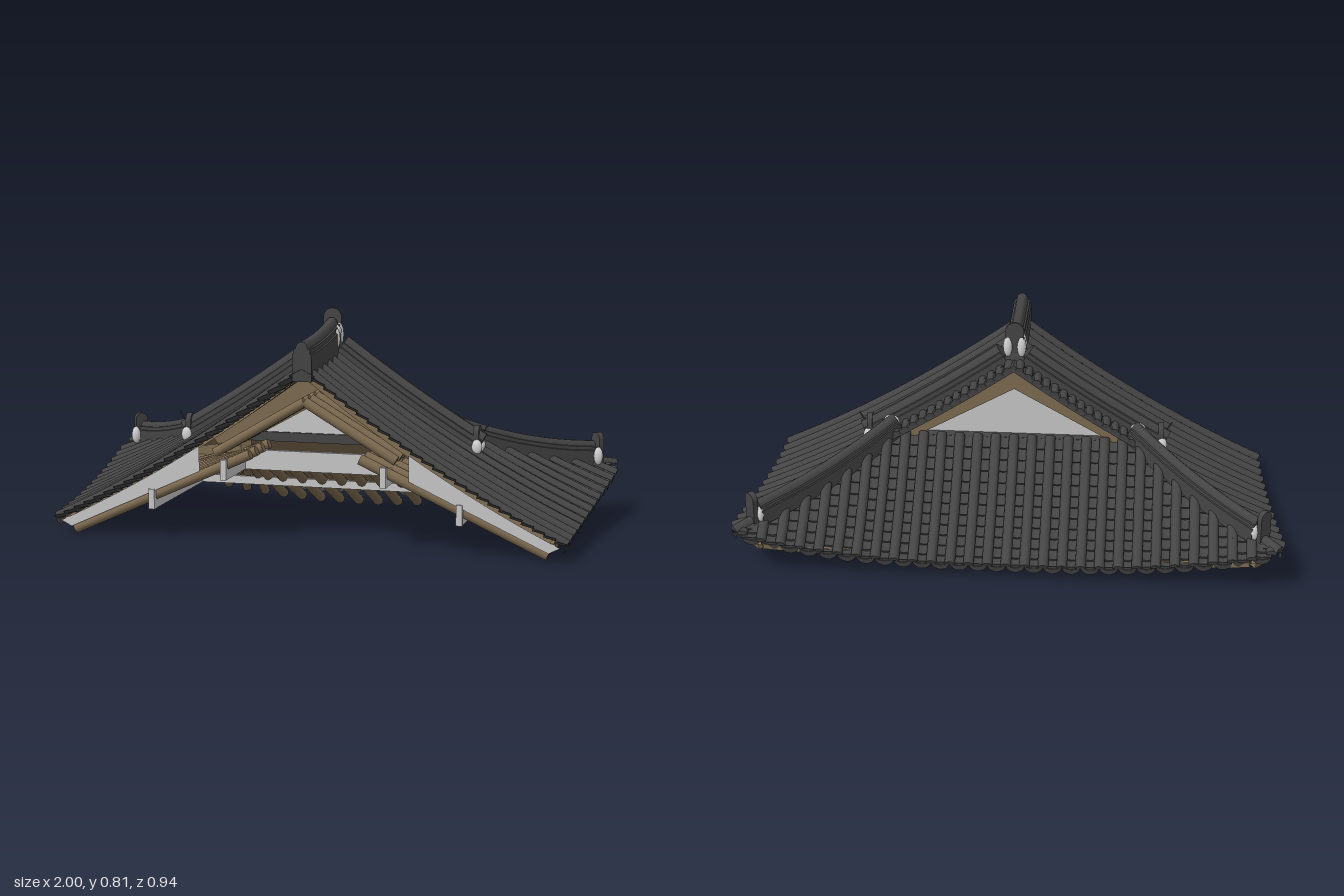
import * as THREE from 'three';
import { toCreasedNormals } from 'three/addons/utils/BufferGeometryUtils.js';

const V = (x, y, z) => new THREE.Vector3(x, y, z);
const mat = (name, color) => new THREE.MeshStandardMaterial({ name, color, side: THREE.DoubleSide });
const STEP = 0.0675;

// Roof surface: side slope (t = 0 ridge, 1 eave) and rear slope (u = 0 top, 1 eave)
const hipX = z => 0.46 + (0.03 - z) * 1.06;
const eaveX = z => {
  const s = Math.max(0, (0.47 - z) / 0.92);
  return 0.93 + 0.07 * s ** 1.5 - 0.05 * Math.max(0, (-0.36 - z) / 0.1) ** 2;
};
const side = (t, z, sx = 1) => {
  const s = Math.max(0, (0.47 - z) / 0.92);
  const eaveY = 0.06 + 0.12 * s ** 1.5;
  const peakY = 0.635 + 0.03 * Math.min(1, s * 2.2) ** 2;
  return V(sx * t * eaveX(z), peakY + (eaveY - peakY) * t - 0.14 * t * (1 - t), z);
};
const sideAt = (x, z, sx = 1) => side(x / eaveX(z), z, sx);
const rear = (u, x) => {
  const a = Math.abs(x), k = a / 0.95;
  const zt = a < 0.46 ? 0.03 : 0.03 - (a - 0.46) / 1.06;
  const yt = sideAt(Math.max(a, 0.46), zt).y;
  const ze = -0.41 - 0.06 * k * k + 0.02 * Math.max(0, (a - 0.88) / 0.07) ** 2;
  const ye = 0.06 + 0.12 * k ** 2.5;
  return V(x, yt + (ye - yt) * u - 0.08 * u * (1 - u) * Math.min(1, (zt - ze) / 0.4), zt + (ze - zt) * u);
};
const sample = (n, f) => Array.from({ length: n + 1 }, (_, i) => f(i / n));

// Sweep an open cross-section (left to right) along a path, with end caps
function sweep(pts, sideways, profile, lift = () => 0, caps = true) {
  const pos = [], idx = [], n = profile.length, m = pts.length;
  pts.forEach((p, i) => {
    const t = pts[Math.min(i + 1, m - 1)].clone().sub(pts[Math.max(i - 1, 0)]).normalize();
    const s = sideways.clone();
    const up = s.clone().cross(t).normalize();
    if (up.y < 0) { s.negate(); up.negate(); }
    for (const [a, b] of profile)
      pos.push(...p.clone().addScaledVector(s, a).addScaledVector(up, b + lift(i)).toArray());
  });
  for (let i = 0; i < m - 1; i++) for (let j = 0; j < n - 1; j++) {
    const a = i * n + j;
    idx.push(a, a + 1, a + n, a + 1, a + n + 1, a + n);
  }
  const e = (m - 1) * n;
  if (caps) for (let j = 1; j < n - 1; j++) idx.push(0, j + 1, j, e, e + j, e + j + 1);
  const g = new THREE.BufferGeometry();
  g.setAttribute('position', new THREE.Float32BufferAttribute(pos, 3));
  g.setIndex(idx);
  return toCreasedNormals(g, 0.7);
}

// Grid sheet from a rule
function sheet(f, nu, nv) {
  const g = new THREE.PlaneGeometry(1, 1, nu, nv), p = g.attributes.position;
  for (let i = 0; i < p.count; i++) {
    const q = f(p.getX(i) + 0.5, p.getY(i) + 0.5);
    p.setXYZ(i, q.x, q.y, q.z);
  }
  g.computeVertexNormals();
  return g;
}

const arc = (r, n = 8) => sample(n, k => [-r * Math.cos(k * Math.PI), r * Math.sin(k * Math.PI)]);
const PAN = [[-0.034, 0.006], [-0.02, -0.006], [0, -0.011], [0.02, -0.006], [0.034, 0.006]];
const BATTEN = [[-0.01, -0.01], [-0.01, 0.01], [0.01, 0.01], [0.01, -0.01], [-0.01, -0.01]];
const ridgeProfile = (w, h, base) => {
  const left = [[-w, base], [-w, h * 0.45], [-w * 0.85, h * 0.48], [-w * 0.85, h * 0.68],
    [-w * 0.65, h * 0.7], [-w * 0.5, h * 0.9], [-w * 0.2, h]];
  return [...left, ...left.slice().reverse().map(([a, b]) => [-a, b])];
};

export function createModel() {
  const tile = mat('charcoalTile', 0x444444), wood = mat('brownWood', 0x7c6a50);
  const plaster = mat('greyPlaster', 0xc6c6c6), mortar = mat('paleMortar', 0xd2d2d2);
  const root = new THREE.Group();
  root.name = 'hippedGableRoof';
  const group = name => { const g = new THREE.Group(); g.name = name; root.add(g); return g; };
  const add = (parent, name, geo, material) => {
    const m = new THREE.Mesh(geo, material);
    m.name = name;
    parent.add(m);
    return m;
  };

  // Tile rows: round cover tiles, stepped pan tiles, drip plates
  const tiles = group('tileRows');
  const cover = (f, sideways) => {
    add(tiles, 'coverTile', sweep(sample(12, f), sideways, arc(0.019), () => 0.003), tile);
  };
  const pan = (f, sideways, length) => {
    const n = Math.max(1, Math.round(length / 0.045)), pts = [];
    for (let k = 0; k < n; k++) pts.push(f(k / n), f((k + 1) / n));
    add(tiles, 'panTile', sweep(pts, sideways, PAN, i => (i % 2 ? 0.007 : -0.002), false), tile);
    const end = pts[pts.length - 1], d = end.clone().sub(pts[pts.length - 2]).setY(0).normalize();
    const drip = add(tiles, 'dripPlate', new THREE.CircleGeometry(0.034, 10, Math.PI, Math.PI), tile);
    drip.position.copy(end).add(V(0, 0.01, 0));
    drip.scale.y = 1.15;
    drip.lookAt(drip.position.clone().add(d).add(V(0, -0.25, 0)));
  };
  for (const sx of [1, -1]) {
    for (let i = 0; i < 28; i++) {
      const z = 0.44 - i * STEP / 2;
      const t0 = z > 0.05 ? 0.01 : hipX(z) / eaveX(z);
      if (t0 > 0.985) continue;
      const f = k => side(t0 + (1 - t0) * k, z, sx);
      i % 2 ? pan(f, V(0, 0, 1), 1.1 * (1 - t0)) : cover(f, V(0, 0, 1));
    }
    pan(k => side(k, 0.44, sx), V(0, 0, 1), 1.1);
    cover(k => V(sx * (0.89 + 0.085 * k), 0.21 - 0.02 * k, -0.365 - 0.08 * k), V(0.7, 0, sx * 0.7));
  }
  for (let i = -28; i <= 28; i++) {
    const x = i * STEP / 2;
    const f = k => rear(k, x);
    i % 2 ? pan(f, V(1, 0, 0), f(0).distanceTo(f(1))) : cover(f, V(1, 0, 0));
  }

  // Short tiles along the gable edge
  const verge = group('gableEdgeTiles');
  for (const sx of [1, -1]) {
    for (let x = 0.02; x < 0.47; x += 0.032) {
      const a = sideAt(x, 0.06, sx), b = a.clone().add(V(0, -0.008, -0.06));
      add(verge, 'edgeTile', sweep([a, b], V(1, 0, 0), arc(0.017)), tile);
    }
    add(verge, 'edgeBed', sheet((u, v) => sideAt(0.47 * u, 0.06 - 0.06 * v, sx), 10, 1), tile);
    add(verge, 'edgeDrip', sheet((u, v) => sideAt(0.47 * u, 0, sx).add(V(0, -0.025 * v, 0)), 10, 1), tile);
  }

  // Boards under the tiles and along the eaves
  const boards = group('roofBoards');
  const down = V(0, -0.022, 0);
  for (const sx of [1, -1]) {
    add(boards, 'upperBoards', sheet((u, v) => side(u * 0.95, 0.465 - v * 0.45, sx).add(down), 14, 8), wood);
    add(boards, 'cornerBoards', sheet((u, v) => {
      const z = 0.015 - v * 0.42, t0 = Math.min(0.95, hipX(z) / eaveX(z));
      return side(t0 + (0.95 - t0) * u, z, sx).add(down);
    }, 8, 8), wood);
    add(boards, 'sideEaveBoard', sweep(sample(20, k => side(0.95, 0.465 - k * 0.85, sx).add(down)),
      V(1, 0, 0), BATTEN), wood);
    // Filling between rafters and tiles at the open end
    const s = new THREE.Shape(sample(10, k => {
      const p = sideAt(0.38 + 0.53 * k, 0.468, sx);
      return new THREE.Vector2(p.x, p.y - 0.014);
    }));
    s.lineTo(sx * 0.87, 0.035);
    s.lineTo(sx * 0.38, 0.26);
    add(boards, 'endFilling', new THREE.ShapeGeometry(s), plaster).position.z = 0.466;
  }
  add(boards, 'rearBoards', sheet((u, v) => rear(v * 0.9, (u - 0.5) * 1.8).add(down), 28, 8), wood);
  add(boards, 'rearEaveBoard', sweep(sample(28, k => rear(0.87, (k - 0.5) * 1.74).add(down)),
    V(0, 0, 1), BATTEN), wood);

  // Rafters, fanning out at the corners
  const rafters = group('rafters');
  const rod = (parent, name, a, b, r, material) => {
    const m = add(parent, name, new THREE.CylinderGeometry(r, r, a.distanceTo(b), 10), material);
    m.position.copy(a).lerp(b, 0.5);
    m.quaternion.setFromUnitVectors(V(0, 1, 0), b.clone().sub(a).normalize());
  };
  for (const sx of [1, -1]) {
    for (let i = 0; i < 11; i++) {
      const z = 0.435 - i * 0.077, s = (0.47 - z) / 0.92;
      const tip = V(sx * (0.865 + 0.06 * s * s), 0.022 + 0.125 * s ** 1.8, z);
      const inner = z > 0.19 ? V(sx * 0.2, 0.325, z) : V(sx * 0.27, 0.295, 0.2 - i * 0.004);
      rod(rafters, 'sideRafter', inner, tip, 0.019, wood);
      if (z > 0.1) rod(rafters, 'shortRafter', V(0, 0.52, z), V(sx * 0.33, 0.325, z), 0.018, wood);
    }
    const beam = add(rafters, 'hipRafter', new THREE.BoxGeometry(0.045, 0.055, 0.89), wood);
    beam.position.set(sx * 0.6, 0.215, -0.1);
    beam.lookAt(sx * 0.93, 0.12, -0.42);
  }
  for (let i = -11; i <= 11; i++) {
    const x = i * 0.077, k = Math.abs(x) / 0.9;
    const inner = V(THREE.MathUtils.clamp(x, -0.27, 0.27), 0.283, 0.215);
    rod(rafters, 'rearRafter', inner, V(x, 0.022 + 0.115 * k ** 2.2, -0.335 - 0.06 * k * k), 0.019, wood);
  }

  // Purlin frames: two sides with end blocks, and a cross beam
  const purlins = group('purlins');
  const frames = [
    { x: 0.56, low: 0.115, sideH: 0.045, crossH: 0.03, zb: -0.08 },
    { x: 0.29, low: 0.233, sideH: 0.055, crossH: 0.073, zb: 0.23 },
  ];
  for (const { x, low, sideH, crossH, zb } of frames) {
    const box = (name, w, h, d, px, pz) =>
      add(purlins, name, new THREE.BoxGeometry(w, h, d), plaster).position.set(px, low + h / 2, pz);
    for (const sx of [1, -1]) {
      box('sidePurlin', 0.02, sideH, 0.47 - zb, sx * x, (0.47 + zb) / 2);
      box('purlinEnd', 0.022, 0.073, 0.02, sx * x, 0.462);
    }
    box('crossPurlin', x * 2, crossH, 0.02, 0, zb);
  }

  // Gable wall with boards on both faces and a dark sill
  const gable = group('gable');
  const slab = (name, shape, z, depth, material) => {
    add(gable, name, new THREE.ExtrudeGeometry(shape, { depth, bevelEnabled: false }), material).position.z = z;
  };
  const wall = new THREE.Shape([[-0.42, 0.325], [0.42, 0.325], [0, 0.57]].map(p => new THREE.Vector2(...p)));
  slab('gableWall', wall, 0.07, 0.008, plaster);
  for (const [name, z, drop, apex, foot] of [['bargeboard', 0.03, 0.02, 0.555, 0.32], ['innerGableBoard', 0.085, 0.015, 0.49, 0.26]]) {
    const s = new THREE.Shape(sample(16, k => {
      const x = -0.46 + 0.92 * k;
      return new THREE.Vector2(x, sideAt(Math.abs(x), z).y - drop);
    }));
    s.lineTo(0.41, foot);
    s.lineTo(0, apex);
    s.lineTo(-0.41, foot);
    slab(name, s, z, 0.012, wood);
  }
  add(gable, 'gableSill', new THREE.BoxGeometry(0.88, 0.035, 0.05), tile).position.set(0, 0.33, 0.06);

  // Ridges
  const ridges = group('ridges');
  add(ridges, 'mainRidge', sweep(sample(12, k => V(0, 0.655 + 0.045 * k * k, 0.473 - 0.413 * k)),
    V(1, 0, 0), ridgeProfile(0.035, 0.08, -0.06)), tile);
  for (const sx of [1, -1]) {
    add(ridges, 'descendingRidge', sweep(sample(12, k => sideAt(0.02 + 0.52 * k, 0.08, sx)),
      V(0, 0, 1), ridgeProfile(0.03, 0.08, -0.02)), tile);
    add(ridges, 'hipRidge', sweep(sample(12, k => {
      const z = 0.05 - 0.43 * k;
      return sideAt(hipX(z), z, sx).add(V(0, 0.02 * k * k, 0));
    }), V(0.707, 0, sx * 0.707), ridgeProfile(0.028, 0.065, -0.03)), tile);
  }

  // Ridge ends: arched tile with mortar lumps
  const ends = group('ridgeEnds');
  const archEnd = (p, yaw, w, h, depth) => {
    const s = new THREE.Shape().moveTo(-w, 0).lineTo(w, 0).lineTo(w, h - w).absarc(0, h - w, w, 0, Math.PI);
    const m = add(ends, 'archedEndTile', new THREE.ExtrudeGeometry(s, { depth, bevelEnabled: false }), tile);
    m.position.copy(p);
    m.rotation.y = yaw;
  };
  const lump = (p, sx, sy, sz) => {
    const m = add(ends, 'mortarLump', new THREE.IcosahedronGeometry(1, 1), mortar);
    m.position.copy(p);
    m.scale.set(sx, sy, sz);
  };
  archEnd(V(0, 0.69, 0.055), 0, 0.034, 0.122, 0.008);
  for (const sx of [1, -1]) {
    lump(V(sx * 0.025, 0.705, 0.112), 0.018, 0.04, 0.018);
    lump(V(sx * 0.025, 0.73, 0.09), 0.016, 0.022, 0.02);
    lump(V(sx * 0.025, 0.715, 0.062), 0.018, 0.045, 0.016);
    archEnd(V(sx * 0.535, 0.3, 0.08), sx * Math.PI / 2, 0.03, 0.105, 0.02);
    for (const dz of [-0.028, 0.033]) lump(V(sx * 0.55, 0.33, 0.08 + dz), 0.02, 0.028, 0.012);
    lump(V(sx * 0.46, 0.39, 0.04), 0.032, 0.035, 0.022);
    rod(ends, 'wireSpike', V(sx * 0.55, 0.35, 0.08), V(sx * 0.585, 0.41, 0.08), 0.0025, tile);
    archEnd(V(sx * 0.91, 0.2, -0.378), Math.PI - sx * Math.PI / 4, 0.025, 0.12, 0.02);
    lump(V(sx * 0.925, 0.235, -0.35), 0.018, 0.035, 0.016);
    lump(V(sx * 0.885, 0.235, -0.388), 0.015, 0.035, 0.018);
  }
  return root;
}
